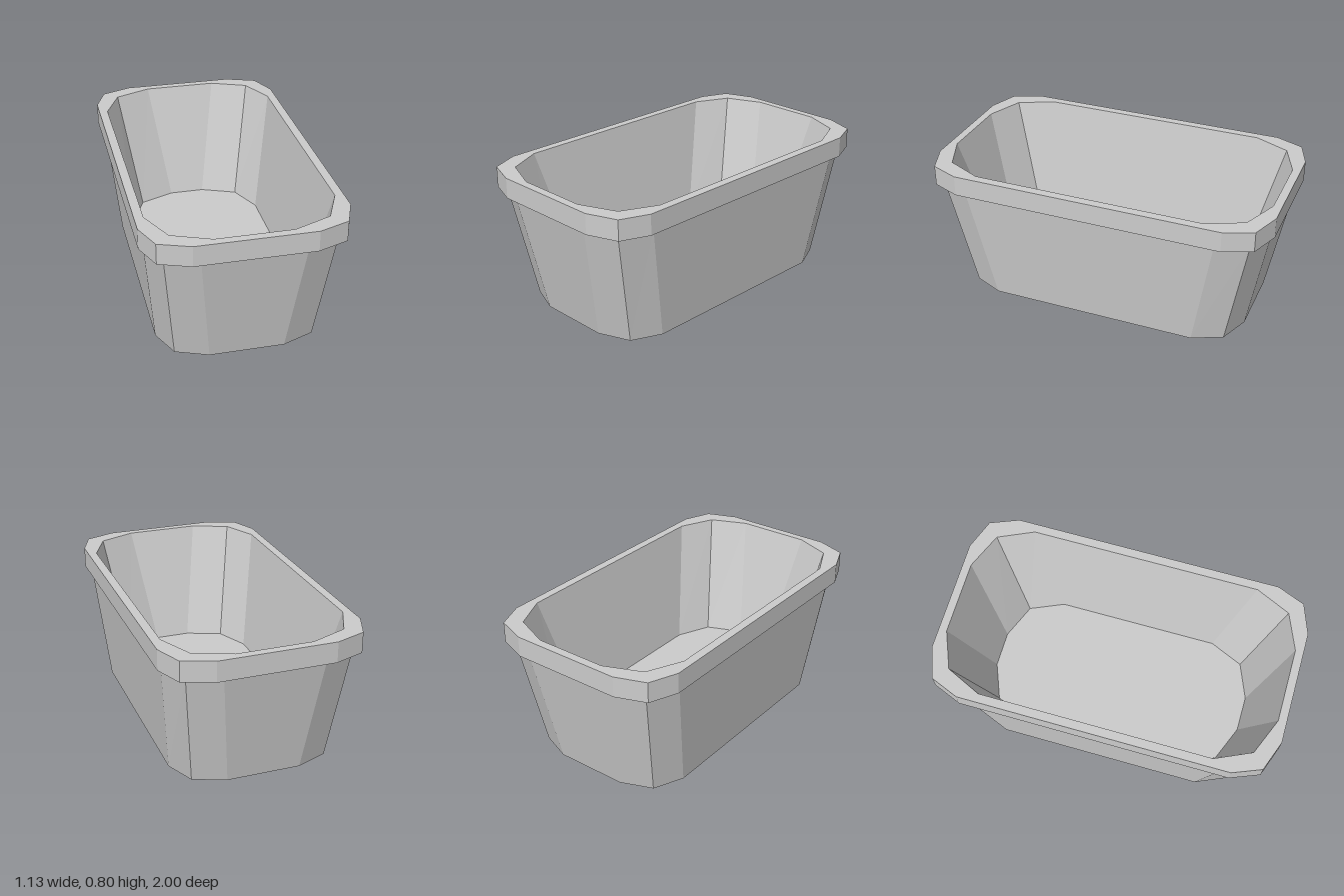
import * as THREE from 'three';

// Twelve-sided ring at height y, from the three points of one bevelled corner [x, z]
function ring(y, a, b, c) {
  const corner = [a, b, c];
  const points = [];
  for (const [sx, sz] of [[1, -1], [-1, -1], [-1, 1], [1, 1]]) {
    const order = sx * sz < 0 ? corner : [...corner].reverse();
    for (const [x, z] of order) points.push(new THREE.Vector3(sx * x, y, sz * z));
  }
  return points;
}

// A ring shrunk to its centre, closing a surface
const centre = (y) => ring(y, [0, 0], [0, 0], [0, 0]);

// Flat-sided skin through successive rings
function loft(name, rings, material) {
  const points = [];
  const triangle = (a, b, c) => {
    if (!a.equals(b) && !b.equals(c) && !c.equals(a)) points.push(a, b, c);
  };
  for (let r = 0; r < rings.length - 1; r++) {
    const from = rings[r], to = rings[r + 1];
    for (let i = 0; i < from.length; i++) {
      const j = (i + 1) % from.length;
      triangle(from[i], from[j], to[j]);
      triangle(from[i], to[j], to[i]);
    }
  }
  const geometry = new THREE.BufferGeometry().setFromPoints(points);
  geometry.computeVertexNormals();
  const mesh = new THREE.Mesh(geometry, material);
  mesh.name = name;
  return mesh;
}

export function createModel() {
  const model = new THREE.Group();
  model.name = 'planter';
  const material = new THREE.MeshStandardMaterial({ color: 0xcccccc, flatShading: true });

  const rimBottom = 0.685, rimTop = 0.803, floorHeight = 0.115;
  const base = ring(0, [0.465, 0.605], [0.39, 0.775], [0.21, 0.845]);
  const wallTop = ring(rimBottom, [0.535, 0.73], [0.46, 0.905], [0.28, 0.975]);
  const rimShape = [[0.565, 0.775], [0.5, 0.937], [0.327, 1]];
  const rimLower = ring(rimBottom, ...rimShape);
  const rimUpper = ring(rimTop, ...rimShape);
  const mouth = ring(rimTop, [0.515, 0.665], [0.422, 0.867], [0.212, 0.953]);
  const floor = ring(floorHeight, [0.4, 0.487], [0.312, 0.688], [0.105, 0.772]);

  // Underside and tapered outer walls
  model.add(loft('outerWall', [centre(0), base, wallTop], material));
  // Overhanging lip
  model.add(loft('rim', [wallTop, rimLower, rimUpper, mouth], material));
  // Sloping inner walls and floor
  model.add(loft('innerWall', [mouth, floor, centre(floorHeight)], material));

  return model;
}
